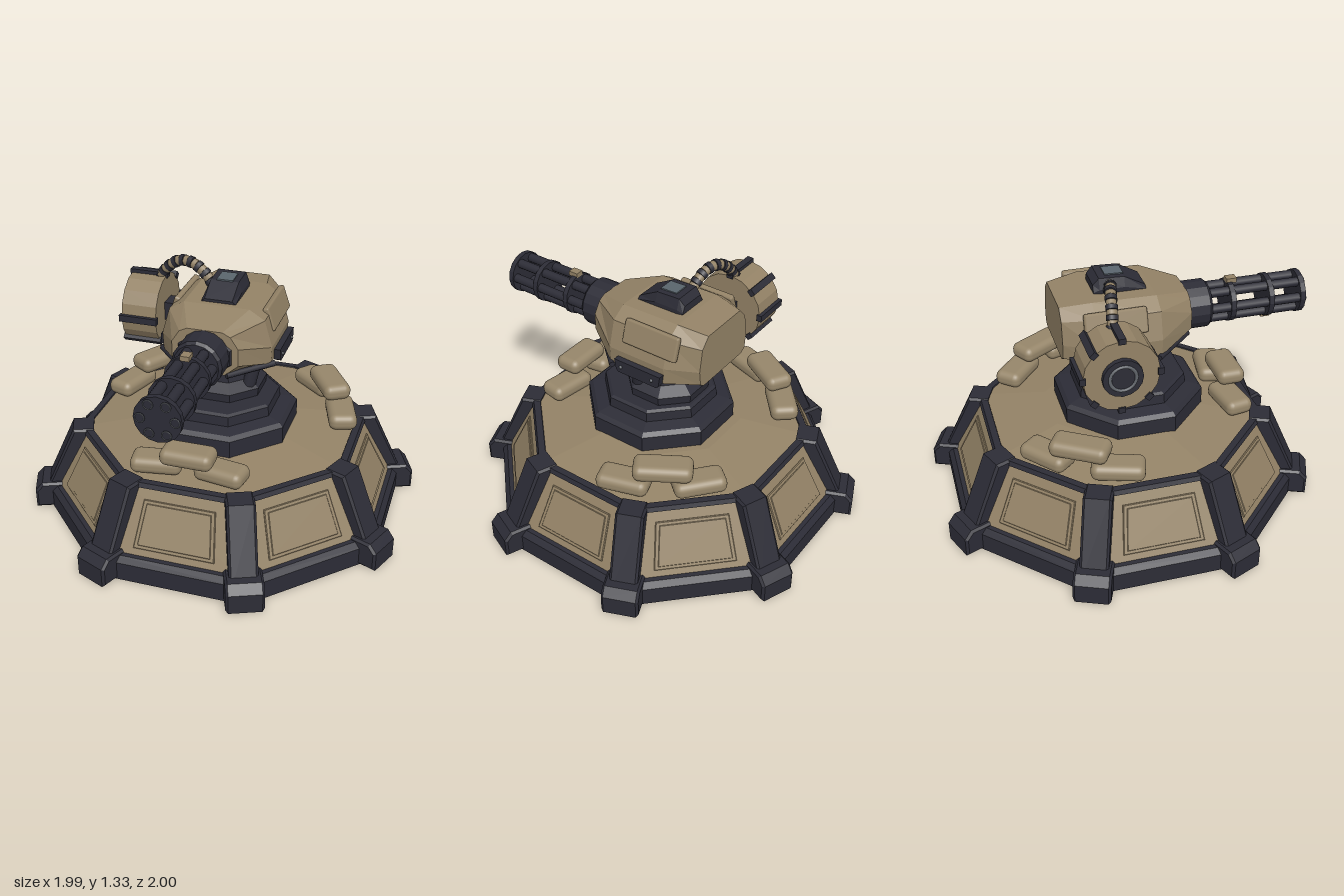
import * as THREE from 'three';
import { RoundedBoxGeometry } from 'three/addons/geometries/RoundedBoxGeometry.js';

const V = (x, y, z) => new THREE.Vector3(x, y, z);
const material = (name, color) => Object.assign(new THREE.MeshStandardMaterial({ color }), { name });

// Faceted normals
function flat(geometry) {
  const g = geometry.index ? geometry.toNonIndexed() : geometry;
  g.computeVertexNormals();
  return g;
}

// Eight-sided turned solid with flats facing the axes; points are [apothem, y]
function octagon(points) {
  const k = 1 / Math.cos(Math.PI / 8);
  return flat(new THREE.LatheGeometry(points.map(([a, y]) => new THREE.Vector2(a * k, y)), 8, Math.PI / 8));
}

// Solid through equal-sized loops, listed front to back, each counter-clockwise from the front
function loft(rings) {
  const n = rings[0].length, index = [], last = (rings.length - 1) * n;
  for (let r = 0; r < rings.length - 1; r++) {
    for (let j = 0; j < n; j++) {
      const a = r * n + j, b = r * n + (j + 1) % n;
      index.push(a, a + n, b, b, a + n, b + n);
    }
  }
  for (let j = 1; j < n - 1; j++) index.push(0, j, j + 1, last, last + j + 1, last + j);
  const g = new THREE.BufferGeometry();
  g.setAttribute('position', new THREE.Float32BufferAttribute(rings.flat(2), 3));
  g.setIndex(index);
  return flat(g);
}

// Symmetric loop at z from its right half, listed bottom to top
const symmetric = (z, half) => [
  ...half.map(([x, y]) => [x, y, z]),
  ...half.slice().reverse().map(([x, y]) => [-x, y, z]),
];

function extrude(points, depth, bevel) {
  const shape = new THREE.Shape(points.map(([x, y]) => new THREE.Vector2(x, y)));
  return new THREE.ExtrudeGeometry(shape, {
    depth, bevelEnabled: bevel > 0, bevelSize: bevel, bevelThickness: bevel, bevelSegments: 1,
  });
}

export function createModel() {
  const tan = material('tan armour', 0x938266);
  const dark = material('dark metal', 0x2c2c36);
  const canvas = material('sandbag canvas', 0x96866a);
  const glass = material('sight glass', 0x5a656d);
  const steel = material('steel', 0x62666c);
  const model = new THREE.Group();

  const add = (name, geometry, mat, position = [0, 0, 0], rotation = [0, 0, 0], parent = model) => {
    const mesh = new THREE.Mesh(geometry, mat);
    mesh.name = name;
    mesh.position.set(...position);
    mesh.rotation.set(...rotation);
    parent.add(mesh);
    return mesh;
  };
  const group = (name, parent = model) => {
    const g = new THREE.Group();
    g.name = name;
    parent.add(g);
    return g;
  };
  const rod = (name, a, b, radius, mat, parent, sides = 10) => {
    const mesh = add(name, new THREE.CylinderGeometry(radius, radius, a.distanceTo(b), sides), mat, [0, 0, 0], [0, 0, 0], parent);
    mesh.position.copy(a).lerp(b, 0.5);
    mesh.quaternion.setFromUnitVectors(V(0, 1, 0), b.clone().sub(a).normalize());
  };

  // Octagonal emplacement
  const base = group('base');
  add('skirt', octagon([[0, 0], [0.915, 0], [0.915, 0.1], [0.89, 0.13], [0.8, 0.135]]), dark, undefined, undefined, base);
  add('slopedWalls', octagon([[0.87, 0.125], [0.715, 0.44]]), tan, undefined, undefined, base);
  add('rim', octagon([[0.715, 0.43], [0.725, 0.435], [0.715, 0.458], [0.68, 0.458], [0.675, 0.445]]), dark, undefined, undefined, base);
  add('deck', octagon([[0.69, 0.45], [0.37, 0.495], [0, 0.495]]), tan, undefined, undefined, base);

  const panel = extrude([[-0.205, 0.045], [0.205, 0.045], [0.18, 0.285], [-0.18, 0.285]], 0.003, 0.004);
  const inset = extrude([[-0.185, 0.062], [0.185, 0.062], [0.163, 0.268], [-0.163, 0.268]], 0.003, 0.003);
  const post = extrude([[0.72, 0.1], [0.975, 0.1], [0.81, 0.45], [0.72, 0.45]], 0.12, 0.012);
  const foot = extrude([[0.84, 0.012], [1.032, 0.012], [1.032, 0.1], [1.0, 0.135], [0.84, 0.135]], 0.165, 0.012);
  for (const g of [post, foot]) {
    g.computeBoundingBox();
    g.translate(0, 0, -(g.boundingBox.min.z + g.boundingBox.max.z) / 2);
  }
  for (let i = 0; i < 8; i++) {
    const side = group('wallSection', base);
    side.rotation.y = i * Math.PI / 4;
    add('wallPanel', panel, tan, [0, 0.125, 0.87], [-0.457, 0, 0], side);
    add('panelFace', inset, tan, [0, 0.127, 0.874], [-0.457, 0, 0], side);
    const corner = Math.PI / 8 + i * Math.PI / 4;
    add('cornerPost', post, dark, undefined, [0, corner, 0], base);
    add('cornerFoot', foot, dark, undefined, [0, corner, 0], base);
  }

  // Sandbag stacks: x, y, z, heading, length
  const bags = [
    [-0.175, 0.505, 0.575, 0.16, 0.26], [0.16, 0.505, 0.575, -0.16, 0.26], [0, 0.588, 0.605, 0, 0.27],
  ];
  for (const s of [-1, 1]) {
    bags.push([s * 0.4, 0.505, -0.475, -s * 0.7, 0.27], [s * 0.6, 0.505, -0.165, -s * 1.26, 0.27],
      [s * 0.5, 0.588, -0.33, -s * 1.02, 0.3]);
  }
  for (const [x, y, z, turn, length] of bags) {
    add('sandbag', new RoundedBoxGeometry(length, 0.088, 0.15, 3, 0.038), canvas, [x, y, z], [0, turn, 0]);
  }

  // Turntable and neck
  add('turntable', octagon([[0.37, 0.48], [0.37, 0.58], [0.35, 0.6], [0.285, 0.615], [0.28, 0.665], [0.265, 0.675], [0, 0.675]]),
    dark, [0, 0, 0.05]);
  add('neck', octagon([[0.2, 0.67], [0.205, 0.72], [0.15, 0.76], [0.14, 0.82], [0.14, 0.92], [0, 0.92]]), dark);
  for (const s of [-1, 1]) {
    const strut = group('strut');
    rod('strutSleeve', V(s * 0.15, 0.73, 0.075), V(s * 0.175, 0.845, 0.06), 0.036, dark, strut, 8);
    rod('strutRod', V(s * 0.175, 0.83, 0.06), V(s * 0.2, 0.93, 0.04), 0.016, steel, strut);
  }

  // Armoured gun housing
  const turret = group('turret');
  add('housing', loft([
    symmetric(0.34, [[0.1, 0.91], [0.17, 0.97], [0.17, 1.06], [0.13, 1.12], [0.09, 1.14]]),
    symmetric(0.15, [[0.22, 0.895], [0.285, 0.91], [0.29, 1.0], [0.25, 1.14], [0.17, 1.19]]),
    symmetric(-0.18, [[0.22, 0.895], [0.285, 0.91], [0.29, 1.0], [0.25, 1.14], [0.17, 1.195]]),
    symmetric(-0.34, [[0.17, 0.9], [0.2, 0.92], [0.21, 1.0], [0.19, 1.12], [0.14, 1.175]]),
  ]), tan, undefined, undefined, turret);
  add('belly', octagon([[0, 0.82], [0.1, 0.82], [0.15, 0.845], [0.155, 0.91]]), tan, [0, 0, -0.15], undefined, turret);
  for (const s of [-1, 1]) {
    add('sideRidge', new RoundedBoxGeometry(0.035, 0.13, 0.32, 1, 0.012), tan, [s * 0.25, 1.11, -0.08], [0, 0, s * 0.32], turret);
    const guard = extrude([[-0.1, 0.965], [-0.09, 0.905], [-0.075, 0.895], [0.155, 0.895], [0.17, 0.905], [0.18, 0.965]], 0.035, 0);
    add('sideGuard', guard, dark, [s > 0 ? 0.285 : -0.32, 0, 0], [0, Math.PI / 2, 0], turret).scale.x = 1;
    for (const z of [-0.13, 0.06]) {
      add('guardBolt', new THREE.SphereGeometry(0.009, 8, 6), steel, [s * 0.322, 0.93, z], undefined, turret);
    }
    // Lower edge trim around the nose
    rod('noseTrim', V(s * 0.11, 0.91, 0.34), V(s * 0.3, 0.905, 0.13), 0.016, dark, turret, 6);
  }

  // Roof sight
  const block = (w, y) => [[w, y[0]], [w, y[1]], [w * 0.8, y[2]]];
  add('sightHousing', loft([
    symmetric(0.12, block(0.09, [1.16, 1.19, 1.205])),
    symmetric(0.01, block(0.092, [1.16, 1.215, 1.265])),
    symmetric(-0.12, block(0.092, [1.16, 1.215, 1.27])),
    symmetric(-0.15, block(0.085, [1.16, 1.2, 1.235])),
  ]), dark, undefined, undefined, turret);
  add('sightGlass', new THREE.BoxGeometry(0.085, 0.008, 0.095), glass, [0, 1.269, -0.035], [0.035, 0, 0], turret);

  // Rotary gun, built along z around its own axis
  const gun = group('rotaryGun', turret);
  gun.position.y = 1.012;
  const disc = (name, r0, r1, z0, z1, mat, sides = 16) =>
    add(name, flat(new THREE.CylinderGeometry(r1, r0, z1 - z0, sides)), mat, [0, 0, (z0 + z1) / 2], [Math.PI / 2, 0, 0], gun);
  const collar = disc('gunCollar', 0.198, 0.14, 0.27, 0.352, dark, 8);
  collar.geometry.rotateY(Math.PI / 8);
  collar.scale.z = 0.72;
  disc('gunMount', 0.128, 0.128, 0.34, 0.46, dark);
  disc('mountLip', 0.128, 0.115, 0.46, 0.475, dark);
  for (const z of [0.58, 0.79, 0.965]) disc('barrelClamp', 0.115, 0.115, z, z + 0.028, dark);
  for (let i = 0; i < 6; i++) {
    const a = i * Math.PI / 3, x = 0.083 * Math.cos(a), y = 0.083 * Math.sin(a);
    rod('barrel', V(x, y, 0.46), V(x, y, 0.998), 0.025, dark, gun, 12);
    add('muzzleRing', new THREE.TorusGeometry(0.022, 0.003, 6, 16), steel, [x, y, 0.997], undefined, gun);
  }
  add('upperLug', new THREE.BoxGeometry(0.045, 0.025, 0.055), tan, [0, 0.118, 0.605], undefined, gun);
  add('lowerLug', new THREE.BoxGeometry(0.045, 0.02, 0.05), tan, [0, -0.115, 0.81], undefined, gun);

  // Ammunition drum, hung beside the housing
  const drum = group('ammunitionDrum');
  drum.position.set(-0.46, 1.005, -0.135);
  const sideways = [0, 0, Math.PI / 2];
  add('drumBody', flat(new THREE.CylinderGeometry(0.19, 0.19, 0.19, 16)), tan, undefined, sideways, drum);
  add('drumHub', flat(new THREE.CylinderGeometry(0.1, 0.1, 0.03, 16)), dark, [-0.105, 0, 0], sideways, drum);
  add('hubRing', new THREE.TorusGeometry(0.065, 0.01, 6, 24), steel, [-0.117, 0, 0], [0, Math.PI / 2, 0], drum);
  add('drumBracket', new THREE.BoxGeometry(0.12, 0.1, 0.1), dark, [0.14, 0, 0], undefined, drum);
  for (let i = 0; i < 8; i++) {
    if (i === 1) continue; // feed opening
    const a = i * Math.PI / 4;
    add('drumSlat', new THREE.BoxGeometry(0.208, 0.036, 0.03), dark,
      [0, 0.191 * Math.sin(a), 0.191 * Math.cos(a)], [-a, 0, 0], drum);
  }

  // Banded feed chute arching from drum to housing
  const chute = group('feedChute');
  const path = new THREE.CatmullRomCurve3([
    V(-0.41, 1.17, -0.14), V(-0.36, 1.24, -0.13), V(-0.28, 1.295, -0.115),
    V(-0.2, 1.295, -0.095), V(-0.13, 1.25, -0.08), V(-0.08, 1.19, -0.07)]);
  const bands = 18;
  for (let i = 0; i < bands; i++) {
    rod('chuteBand', path.getPointAt(i / bands), path.getPointAt((i + 1) / bands), i % 2 ? 0.027 : 0.031, i % 2 ? tan : dark, chute);
  }
  return model;
}
